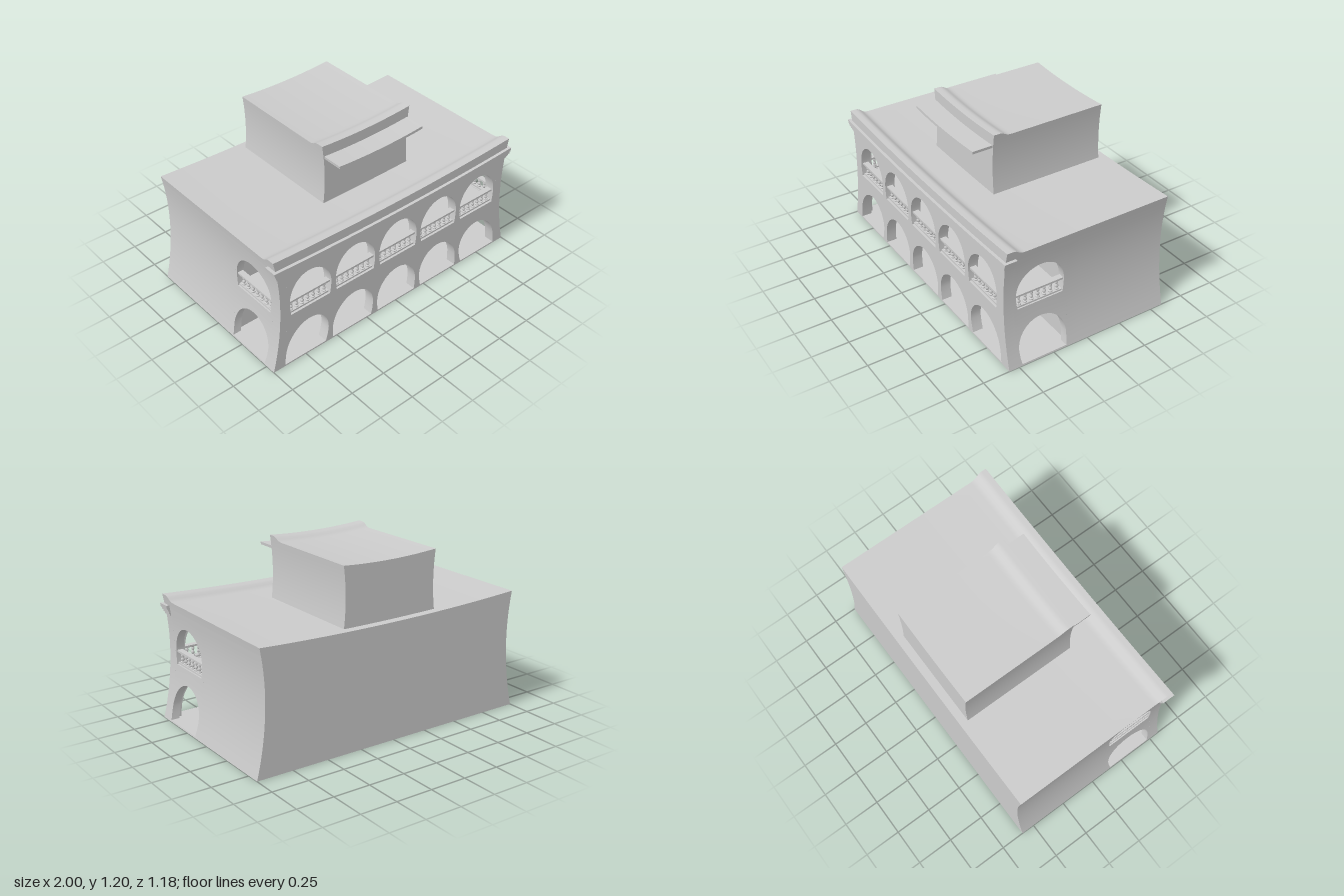
import * as THREE from 'three';
import { mergeGeometries, toCreasedNormals } from 'three/addons/utils/BufferGeometryUtils.js';

const material = new THREE.MeshStandardMaterial({ color: 0xcccccc, side: THREE.DoubleSide });
const { lerp, smoothstep } = THREE.MathUtils;

// Waisted sides and sagging eaves of the main building
function warpHouse(p) {
  const k = p.y < 0.5 ? 0.067 * ((0.5 - p.y) / 0.5) ** 2 : 0.037 * ((p.y - 0.5) / 0.34) ** 2;
  p.x *= 0.933 + k;
  p.y -= 0.028 * (1 - (p.x / 0.97) ** 2) * smoothstep(p.y, 0.66, 0.8);
}

// The same bend, smaller, for the rooftop block
function warpTower(p) {
  p.x *= 1 + (p.y - 0.97) ** 2;
  p.y -= 0.015 * (1 - (p.x / 0.35) ** 2) * smoothstep(p.y, 0.9, 1.1);
}

// Bent, merged mesh with sharp edges kept
function part(name, geometries, warp) {
  const g = mergeGeometries(geometries);
  const pos = g.attributes.position;
  const p = new THREE.Vector3();
  for (let i = 0; i < pos.count; i++) {
    warp(p.fromBufferAttribute(pos, i));
    pos.setXYZ(i, p.x, p.y, p.z);
  }
  const mesh = new THREE.Mesh(toCreasedNormals(g, 0.6), material);
  mesh.name = name;
  return mesh;
}

// Surface of nu x nv cells; fn(i, j) gives each point
function grid(nu, nv, fn) {
  const g = new THREE.PlaneGeometry(1, 1, nu, nv);
  for (let j = 0, n = 0; j <= nv; j++)
    for (let i = 0; i <= nu; i++) g.attributes.position.setXYZ(n++, ...fn(i, j));
  return g;
}

// Box given by its limits
function box(x0, x1, y0, y1, z0, z1, sx = 1, sy = 1, sz = 1) {
  return new THREE.BoxGeometry(x1 - x0, y1 - y0, z1 - z0, sx, sy, sz)
    .translate((x0 + x1) / 2, (y0 + y1) / 2, (z0 + z1) / 2);
}

// Upright walls: across the width, or along a side
const crossWall = (hx, y0, y1, z) =>
  grid(24, 16, (i, j) => [lerp(-hx, hx, i / 24), lerp(y0, y1, j / 16), z]);
const sideWall = (x, y0, y1, z0, z1) =>
  grid(8, 16, (i, j) => [x, lerp(y0, y1, j / 16), lerp(z0, z1, i / 8)]);

// Roof with an ogee parapet along the front, closed down to y = low
function roofShell(hx, low, top, rise, back, front) {
  const line = [[back, top], [(back + front) / 2, top]];
  [[0.13, 0], [0.11, 0.05], [0.095, 0.18], [0.08, 0.45], [0.065, 0.78], [0.05, 0.96], [0.035, 1], [0, 1]]
    .forEach(([d, h]) => line.push([front - d, top + rise * h]));
  const n = line.length - 1;
  const end = (x) => grid(n, 12, (i, j) => [x, lerp(low, line[i][1], j / 12), line[i][0]]);
  return [
    grid(24, n, (i, j) => [lerp(-hx, hx, i / 24), line[j][1], line[j][0]]),
    crossWall(hx, low, top, back),
    crossWall(hx, low, top + rise, front),
    end(hx), end(-hx),
  ];
}

// Rows of [height, half opening] for two stacked horseshoe arches
const rows = [];
for (const base of [0.01, 0.385]) {
  rows.push([base, 0], [base, 0.16], [base + 0.045, 0.167], [base + 0.09, 0.17]);
  for (let k = 1; k <= 14; k++) {
    const a = (k / 14) * Math.PI / 2;
    rows.push([base + 0.09 + 0.18 * Math.sin(a), k === 14 ? 0 : 0.17 * Math.cos(a)]);
  }
  rows.push([base + 0.32, 0]);
}
rows.push([0.755, 0]);

// One bay of arcade: two mirrored half piers; place(a, y, d) sets it in the wall
function archBay(half, thick, place) {
  return [-1, 1].map((s) => grid(4, rows.length - 1, (i, j) => {
    const [y, w] = rows[j];
    return place(s * (i === 1 || i === 2 ? half : w), y, i >= 2 && i < 4 ? thick : 0);
  }));
}

// Balustrade for one bay, along x, centred on z = 0
const turning = [[0.014, 0], [0.014, 0.008], [0.007, 0.012], [0.012, 0.022], [0.012, 0.028],
  [0.006, 0.037], [0.011, 0.047], [0.011, 0.053], [0.007, 0.06], [0.014, 0.064], [0.014, 0.07]]
  .map(([r, y]) => new THREE.Vector2(r, y));
function balustrade() {
  const list = [
    box(-0.163, 0.163, 0.383, 0.396, -0.018, 0.018, 6),
    box(-0.17, 0.17, 0.463, 0.476, -0.02, 0.02, 6),
  ];
  for (let k = -3; k <= 3; k++)
    list.push(new THREE.LatheGeometry(turning, 8).translate(k * 0.045, 0.395, 0));
  return list;
}

export function createModel() {
  const group = new THREE.Group();
  const add = (name, geometries, warp = warpHouse) => group.add(part(name, geometries, warp));

  // Hollow main body, open underneath
  add('mainBody', [
    crossWall(1, 0, 0.755, -0.59),
    crossWall(0.995, 0, 0.755, 0.13),
    sideWall(1, 0, 0.755, -0.59, 0.13),
    sideWall(-1, 0, 0.755, -0.59, 0.13),
  ]);
  add('mainRoof', roofShell(1, 0.755, 0.805, 0.035, -0.59, 0.57));

  // Gallery floors and ceiling
  add('groundSlab', [box(-1, 1, 0, 0.01, 0.13, 0.57, 24)]);
  add('upperFloor', [box(-0.96, 0.96, 0.355, 0.383, 0.13, 0.52, 24)]);
  add('galleryCeiling', [grid(24, 1, (i, j) => [lerp(-1, 1, i / 24), 0.755, j ? 0.13 : 0.57])]);

  // Arcades: five bays in front, one on each side, with corner piers
  const front = [], sides = [], corners = [], frontRails = [], sideRails = [];
  for (let b = -2; b <= 2; b++) {
    const cx = b * 0.377;
    front.push(...archBay(0.1885, 0.07, (a, y, d) => [cx + a, y, 0.57 - d]));
    frontRails.push(...balustrade().map((g) => g.translate(cx, 0, 0.537)));
  }
  for (const s of [-1, 1]) {
    sides.push(...archBay(0.185, 0.0575, (a, y, d) => [s * (1 - d), y, 0.315 + a]));
    sideRails.push(...balustrade().map((g) => g.rotateY(Math.PI / 2).translate(s * 0.972, 0, 0.315)));
    const [x0, x1] = s > 0 ? [0.9425, 1] : [-1, -0.9425];
    corners.push(box(x0, x1, 0.01, 0.755, 0.5, 0.57, 1, 18));
  }
  add('frontArcade', front);
  add('sideArcades', sides);
  add('cornerPiers', corners);
  add('frontBalustrades', frontRails);
  add('sideBalustrades', sideRails);

  // Stepped cornice
  const steps = [[0.75, 0.775, 1.022, 0.59], [0.735, 0.75, 1.017, 0.588],
    [0.72, 0.735, 1.012, 0.582], [0.705, 0.72, 1.007, 0.576]];
  add('cornice', steps.map(([y0, y1, hx, z]) => box(-hx, hx, y0, y1, 0.505, z, 32)));

  // Rooftop block and its awning
  add('rooftopBlock', roofShell(0.334, 0.77, 1.168, 0.028, -0.535, 0.26), warpTower);
  add('awning', [box(-0.328, 0.328, 1.105, 1.123, 0.26, 0.4, 16)], warpTower);

  return group;
}
